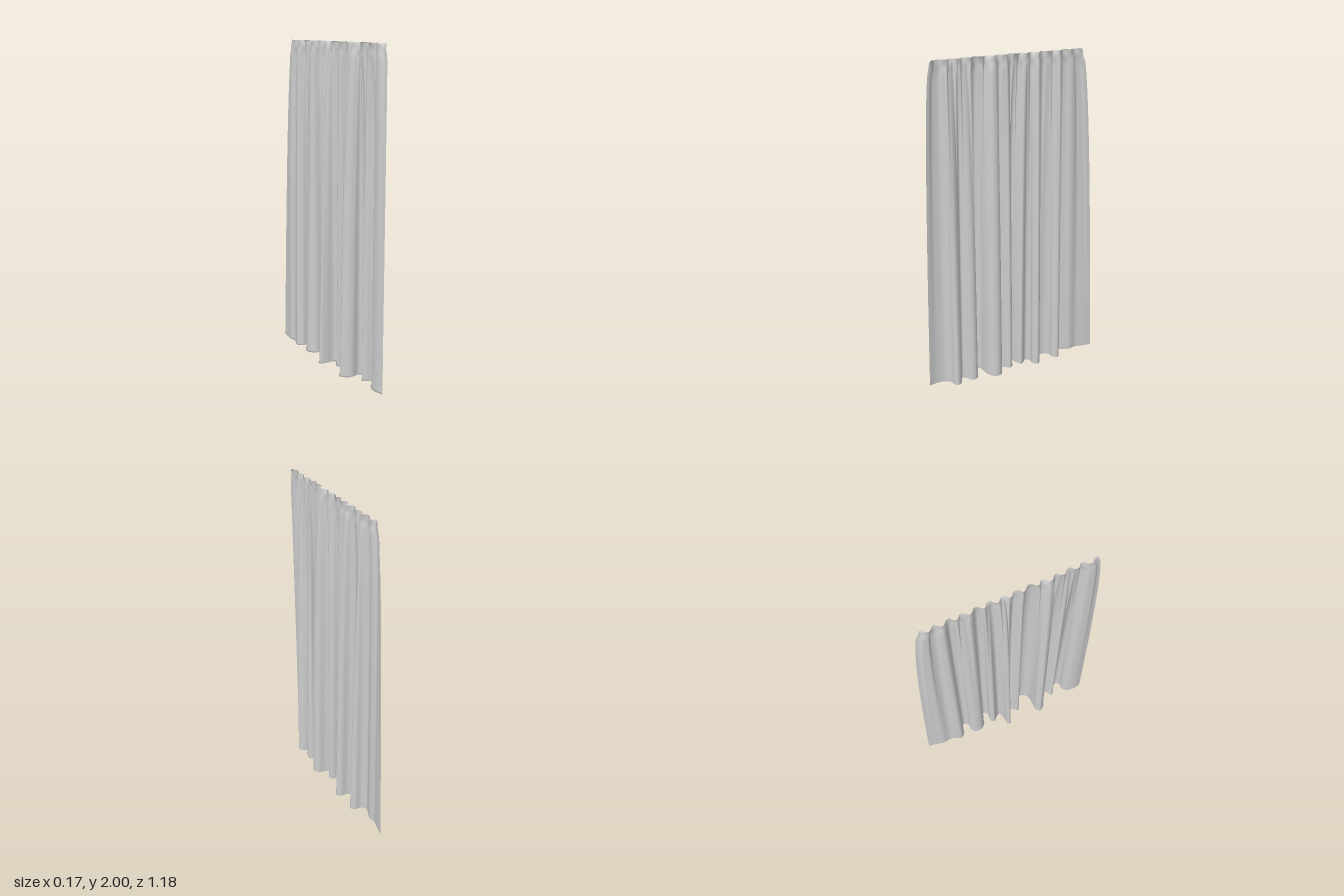
import * as THREE from 'three';

const PLEATS = 13;
const COLS = 416;
const ROWS = 64;

// hem line on the floor as [x, z], from the front edge to the back edge
const HEM = [
  [-0.022, 0.59], [-0.032, 0.54], [-0.022, 0.48], [0.008, 0.455], [0.045, 0.45], [0.058, 0.43],
  [0.04, 0.40], [0.005, 0.385], [-0.01, 0.37], [0.008, 0.35], [0.038, 0.335], [0.047, 0.305],
  [0.025, 0.28], [-0.03, 0.288], [-0.068, 0.268], [-0.084, 0.24], [-0.06, 0.215], [-0.01, 0.213],
  [0.035, 0.208], [0.072, 0.185], [0.08, 0.155], [0.06, 0.125], [0.02, 0.118], [-0.012, 0.10],
  [0.005, 0.07], [0.025, 0.045], [0.012, 0.022], [-0.04, 0.018], [-0.078, 0.008], [-0.075, -0.012],
  [-0.03, -0.02], [0.018, -0.04], [0.005, -0.065], [-0.018, -0.09], [0.0, -0.115], [0.045, -0.112],
  [0.07, -0.135], [0.05, -0.16], [0.0, -0.165], [-0.03, -0.195], [-0.033, -0.23], [-0.012, -0.265],
  [0.03, -0.27], [0.056, -0.295], [0.035, -0.32], [-0.008, -0.325], [-0.032, -0.355],
  [-0.02, -0.39], [-0.005, -0.43], [-0.012, -0.48], [0.0, -0.53], [0.01, -0.59],
];

function createCloth() {
  const curve = new THREE.CatmullRomCurve3(HEM.map(([x, z]) => new THREE.Vector3(x, 0, z)));
  curve.arcLengthDivisions = 1000;
  const hem = curve.getSpacedPoints(COLS);
  const geometry = new THREE.PlaneGeometry(1, 1, COLS, ROWS);
  const pos = geometry.attributes.position;

  for (let j = 0; j <= ROWS; j++) {
    // rows are denser near the gathered heading
    const s = Math.min(1, (j / (ROWS - 2)) ** 2);
    const turn = Math.max(0, j - (ROWS - 2)); // last rows turn the hem under
    const spread = Math.sqrt(s) * (1.15 - 0.15 * s);
    const y = 2 * (1 - s);
    const pinch = Math.exp(-(((y - 1.965) / 0.03) ** 2));
    const pleatDepth = 0.013 * (1 - spread) * (1 - 0.35 * pinch);

    for (let i = 0; i <= COLS; i++) {
      const u = i / COLS;
      const phase = u * PLEATS * Math.PI * 2;
      // box pleats at the heading, fading into the broad folds of the hem
      const pleat = Math.tanh(3 * Math.cos(phase)) * pleatDepth;
      const gather = Math.sin(2 * phase) * (0.004 + 0.007 * pinch) * (1 - spread);
      const flare = 1 - 0.015 * pinch;
      const topZ = 0.03 + (0.49 - 0.98 * u) * flare + gather;
      const kz = s ** THREE.MathUtils.lerp(0.22, 0.48, u);
      const x = THREE.MathUtils.lerp(0.002, hem[i].x, spread) + pleat - turn * 0.003;
      const z = THREE.MathUtils.lerp(topZ, hem[i].z, kz);
      pos.setXYZ(j * (COLS + 1) + i, x, y + (turn === 2 ? 0.01 : 0), z);
    }
  }
  geometry.computeVertexNormals();
  return geometry;
}

export function createModel() {
  const group = new THREE.Group();
  group.name = 'curtain';
  const material = new THREE.MeshStandardMaterial({ color: 0xcccccc, side: THREE.DoubleSide });
  const cloth = new THREE.Mesh(createCloth(), material);
  cloth.name = 'pleatedCloth';
  group.add(cloth);
  return group;
}
